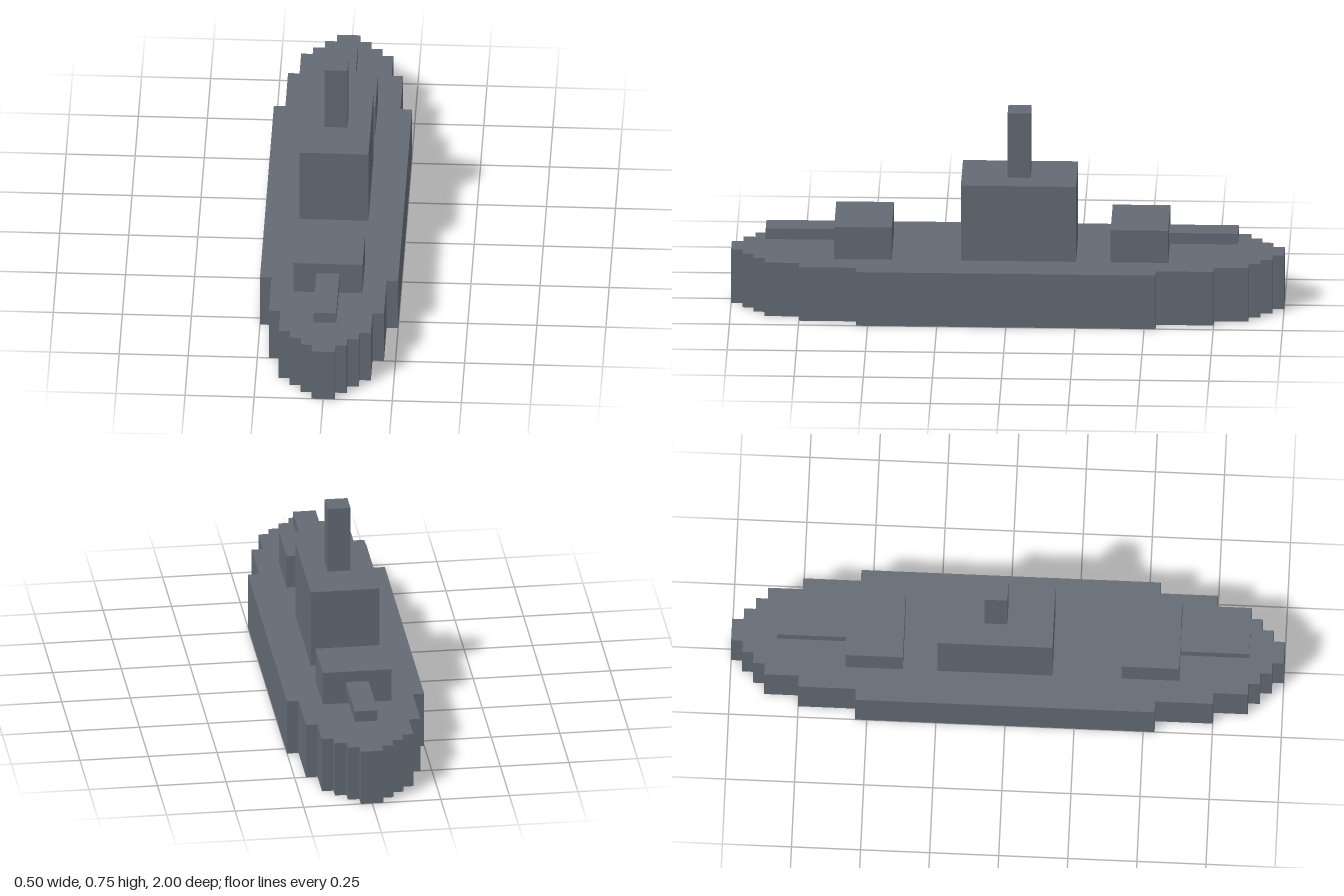
import * as THREE from 'three';

const U = 1 / 24; // block size

export function createModel() {
  const ship = new THREE.Group();
  ship.name = 'warship';
  const grey = new THREE.MeshStandardMaterial({ color: 0x626a73 });
  grey.name = 'slate grey';

  // Box from its extents, in blocks
  function block(name, halfWidth, y0, y1, z0, z1, parent = ship) {
    const geometry = new THREE.BoxGeometry(2 * halfWidth * U, (y1 - y0) * U, (z1 - z0) * U);
    const mesh = new THREE.Mesh(geometry, grey);
    mesh.name = name;
    mesh.position.set(0, (y0 + y1) / 2 * U, (z0 + z1) / 2 * U);
    parent.add(mesh);
  }

  // Hull: stepped plan, pointed at both ends; each step is [half width, half length]
  const steps = [[6, 13], [5, 18], [4, 21], [3, 22], [2, 23], [1, 24]];
  const quarter = [];
  steps.forEach(([w, l], i) => {
    if (i > 0) quarter.push([w, steps[i - 1][1]]);
    quarter.push([w, l]);
  });
  const mirrored = [...quarter].reverse();
  const outline = [
    ...quarter,
    ...mirrored.map(([x, z]) => [-x, z]),
    ...quarter.map(([x, z]) => [-x, -z]),
    ...mirrored.map(([x, z]) => [x, -z]),
  ];
  const plan = new THREE.Shape(outline.map(([x, z]) => new THREE.Vector2(x * U, z * U)));
  const hullGeometry = new THREE.ExtrudeGeometry(plan, { depth: 5 * U, bevelEnabled: false });
  hullGeometry.rotateX(-Math.PI / 2);
  const hull = new THREE.Mesh(hullGeometry, grey);
  hull.name = 'hull';
  ship.add(hull);

  // Superstructure
  block('bridge', 3, 5, 12, -6, 4);
  block('funnel', 1, 12, 18, -2, 0);

  // Gun turrets, bow and stern
  const bowTurret = new THREE.Group();
  bowTurret.name = 'bowTurret';
  block('turretHousing', 3, 5, 8, 10, 15, bowTurret);
  block('gunBarrel', 1, 6, 7, 15, 21, bowTurret);
  const sternTurret = new THREE.Group();
  sternTurret.name = 'sternTurret';
  block('turretHousing', 3, 5, 8, -14, -9, sternTurret);
  block('gunBarrel', 1, 6, 7, -20, -14, sternTurret);
  ship.add(bowTurret, sternTurret);

  return ship;
}
